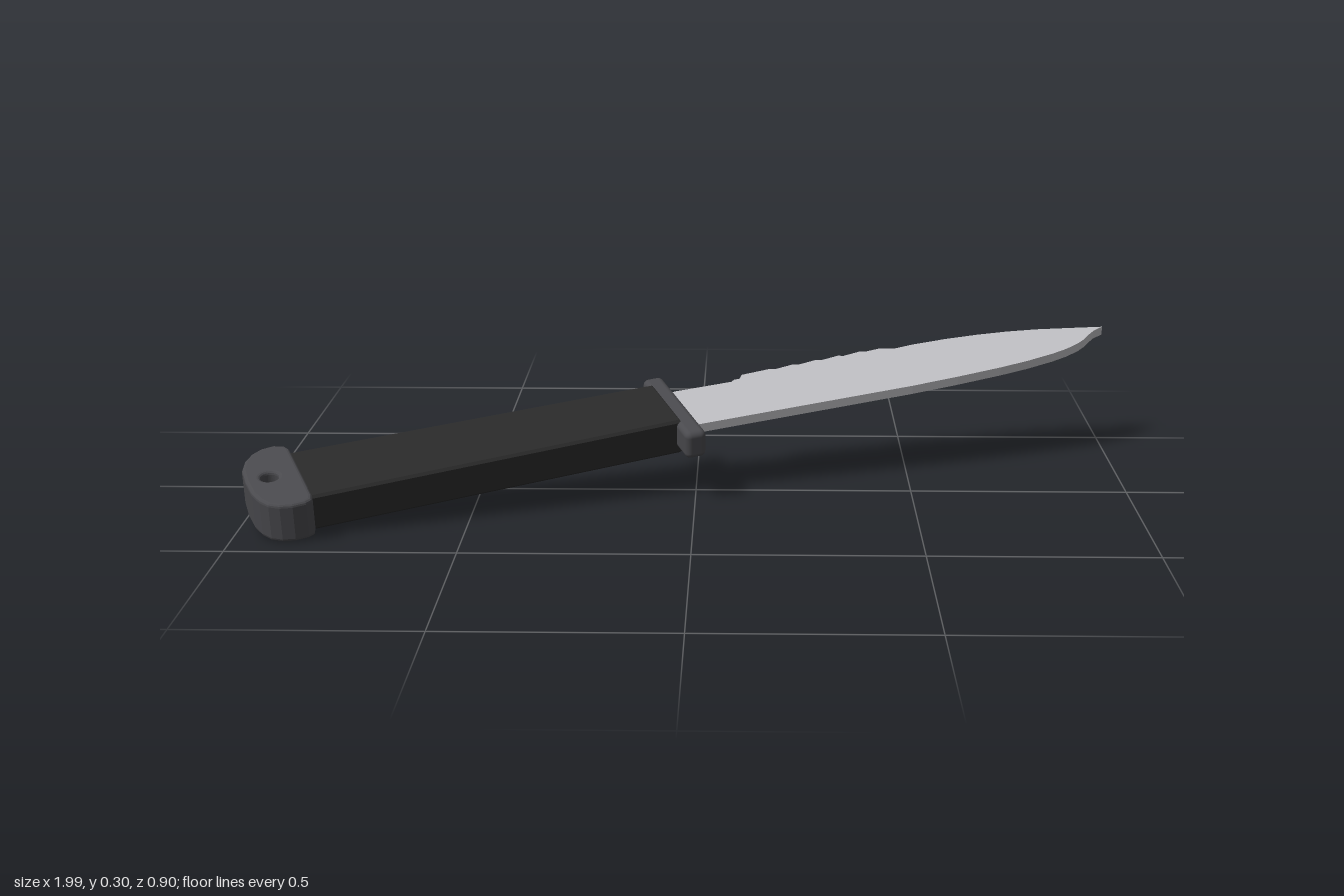
import * as THREE from 'three';
import { RoundedBoxGeometry } from 'three/addons/geometries/RoundedBoxGeometry.js';

const mat = (name, color, side = THREE.FrontSide) => {
  const m = new THREE.MeshStandardMaterial({ color, side });
  m.name = name;
  return m;
};

// Plan outline (length, width) made into a flat slab between two heights
function slab(shape, bottom, top, bevel = 0, segments = 1) {
  const geo = new THREE.ExtrudeGeometry(shape, {
    depth: top - bottom - 2 * bevel,
    bevelEnabled: bevel > 0, bevelThickness: bevel, bevelSize: bevel,
    bevelOffset: -bevel, bevelSegments: segments, curveSegments: 20,
  });
  geo.translate(0, 0, bottom + bevel);
  geo.rotateX(-Math.PI / 2);
  return geo;
}

const outline = (pts) => new THREE.Shape(pts.map(([u, v]) => new THREE.Vector2(u, -v)));

export function createModel() {
  const rubber = mat('black grip', 0x2a2a2a);
  const fitting = mat('dark metal', 0x4a4a4e);
  const steel = mat('blade steel', 0xbdbdc1);

  const knife = new THREE.Group();
  knife.name = 'knife';
  const add = (name, geo, material) => {
    const mesh = new THREE.Mesh(geo, material);
    mesh.name = name;
    knife.add(mesh);
    return mesh;
  };

  // Blade: back with a stepped, toothed stretch, then the point and belly
  const back = [[-0.05, -0.125], [0, -0.131], [0.14, -0.125], [0.15, -0.132], [0.165, -0.132], [0.176, -0.148]];
  for (let i = 0; i < 5; i++) {
    const u = 0.25 + i * 0.06;
    back.push([u, -0.15], [u + 0.012, -0.144]);
  }
  const blade = outline([
    ...back,
    [0.54, -0.146], [0.575, -0.132], [0.622, -0.134], [0.71, -0.13], [0.792, -0.121],
    [0.87, -0.108], [0.942, -0.091], [1.02, -0.067], [1.099, -0.042],
    [1.07, -0.032], [1.05, -0.019], [1.026, -0.001], [1.001, 0.013], [0.96, 0.028],
    [0.915, 0.038], [0.84, 0.048], [0.765, 0.053], [0.65, 0.056], [0.53, 0.056], [-0.05, 0.035],
  ]);
  add('blade', slab(blade, -0.004, 0.018), steel);

  // Guard
  add('guard', new RoundedBoxGeometry(0.05, 0.068, 0.29, 3, 0.014), fitting)
    .position.set(-0.039, 0.004, -0.04);

  // Handle, slightly wider towards the pommel
  const handle = outline([[-0.94, -0.155], [-0.05, -0.145], [-0.05, 0.043], [-0.94, 0.053]]);
  add('handle', slab(handle, -0.045, 0.041, 0.006), rubber);

  // Pommel with a lanyard hole
  const pommel = outline([
    [-0.915, -0.16], [-0.922, -0.178], [-0.945, -0.188], [-0.975, -0.184], [-1.0, -0.168],
    [-1.02, -0.143], [-1.034, -0.108], [-1.038, -0.054], [-1.036, 0], [-1.027, 0.035],
    [-1.013, 0.06], [-0.992, 0.075], [-0.965, 0.082], [-0.935, 0.08], [-0.92, 0.072], [-0.915, 0.055],
  ]);
  const hole = new THREE.Path();
  hole.absarc(-0.984, 0.055, 0.02, 0, Math.PI * 2, true);
  pommel.holes.push(hole);
  add('pommel', slab(pommel, -0.046, 0.048, 0.008, 3), fitting);

  // Lying askew and tipped towards the front
  knife.rotation.y = THREE.MathUtils.degToRad(22.9);
  const model = new THREE.Group();
  model.name = 'tiltedKnife';
  model.add(knife);
  model.rotation.x = THREE.MathUtils.degToRad(15);
  model.position.y = 0.159;

  const root = new THREE.Group();
  root.add(model);
  // Settle on the ground, centred
  root.updateMatrixWorld(true);
  const box = new THREE.Box3().setFromObject(root, true);
  const c = box.getCenter(new THREE.Vector3());
  model.position.x -= c.x;
  model.position.y -= box.min.y;
  model.position.z -= c.z;
  return root;
}
